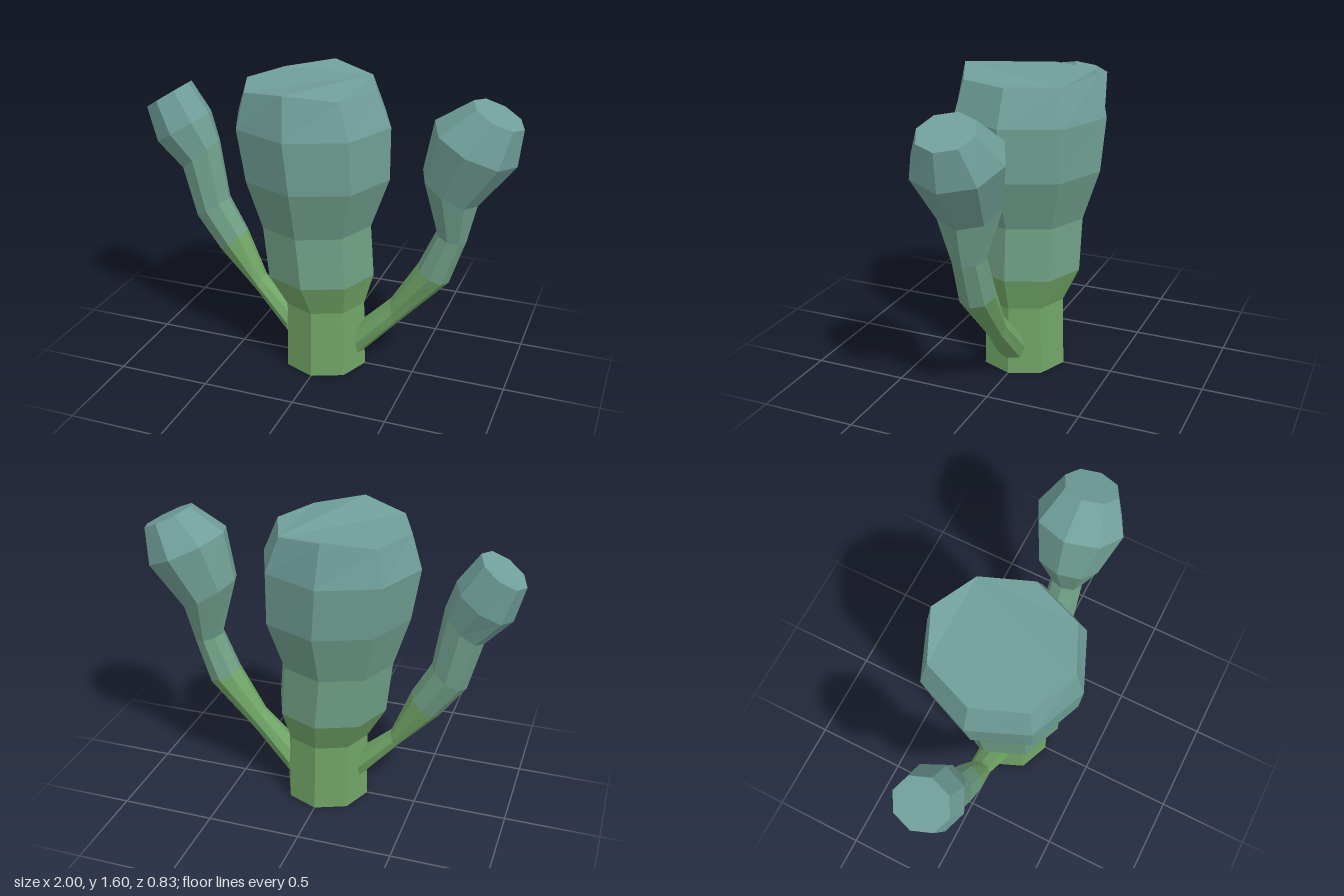
import * as THREE from 'three';

const SIDES = 8;
const BAND_COLORS = [0x70a466, 0x70a466, 0x709f85, 0x709f8c, 0x709f94, 0x709f9a];

// Ring: [leftX, leftY, rightX, rightY, depthRadius, lift of front and back corners]
function ringPoints([x1, y1, x2, y2, rz, lift = 0]) {
  const points = [];
  for (let k = 0; k < SIDES; k++) {
    const a = (k / SIDES) * Math.PI * 2;
    const c = Math.cos(a) / 2;
    points.push([
      (x1 + x2) / 2 + (x2 - x1) * c,
      (y1 + y2) / 2 + (y2 - y1) * c + (k % 4 === 2 ? lift : 0),
      Math.sin(a) * rz,
    ]);
  }
  return points;
}

function facetMesh(name, triangles, color) {
  const geometry = new THREE.BufferGeometry();
  geometry.setAttribute('position', new THREE.Float32BufferAttribute(triangles.flat(), 3));
  geometry.computeVertexNormals();
  const mesh = new THREE.Mesh(geometry, new THREE.MeshStandardMaterial({ color, flatShading: true }));
  mesh.name = name;
  return mesh;
}

// Faceted stem: one coloured band between each pair of rings, closed at both ends
function stem(name, rings) {
  const group = new THREE.Group();
  group.name = name;
  const loops = rings.map(ringPoints);
  const last = loops.length - 1;
  for (let i = 0; i < last; i++) {
    const tris = [];
    for (let k = 0; k < SIDES; k++) {
      const n = (k + 1) % SIDES;
      const [a, b, c, d] = [loops[i][k], loops[i][n], loops[i + 1][k], loops[i + 1][n]];
      tris.push(a, c, b, b, c, d);
    }
    group.add(facetMesh(`${name}Band${i + 1}`, tris, BAND_COLORS[i]));
  }
  // End caps, fanned from the back right corner
  const top = [], bottom = [];
  for (let k = 0; k < SIDES - 2; k++) {
    const [lo, hi] = [loops[0], loops[last]];
    top.push(hi[7], hi[k + 1], hi[k]);
    bottom.push(lo[7], lo[k], lo[k + 1]);
  }
  group.add(facetMesh(`${name}Top`, top, BAND_COLORS[last - 1]));
  group.add(facetMesh(`${name}Bottom`, bottom, BAND_COLORS[0]));
  return group;
}

export function createModel() {
  const model = new THREE.Group();
  model.name = 'cactus';

  // Trunk
  model.add(stem('trunk', [
    [-0.23, 0, 0.23, 0, 0.23],
    [-0.225, 0.375, 0.22, 0.375, 0.22],
    [-0.325, 0.55, 0.27, 0.55, 0.3],
    [-0.355, 0.83, 0.25, 0.83, 0.305],
    [-0.44, 1.1, 0.345, 1.1, 0.395],
    [-0.485, 1.375, 0.345, 1.375, 0.415],
    [-0.43, 1.557, 0.265, 1.56, 0.37, 0.037],
  ]));

  // Arm on +x
  model.add(stem('leftArm', [
    [0.19, 0.25, 0.21, 0.07, 0.085],
    [0.37, 0.43, 0.41, 0.29, 0.06],
    [0.51, 0.66, 0.675, 0.575, 0.095],
    [0.6, 0.86, 0.755, 0.82, 0.088],
    [0.515, 1.18, 0.8, 1.02, 0.17],
    [0.565, 1.44, 0.98, 1.25, 0.235],
    [0.75, 1.56, 1.0, 1.44, 0.145],
  ]));

  // Arm on -x
  model.add(stem('rightArm', [
    [-0.2, 0.12, -0.2, 0.3, 0.085],
    [-0.4, 0.35, -0.36, 0.44, 0.06],
    [-0.61, 0.57, -0.46, 0.69, 0.09],
    [-0.745, 0.755, -0.56, 0.87, 0.1],
    [-0.815, 1.02, -0.61, 1.19, 0.115],
    [-0.95, 1.165, -0.66, 1.34, 0.165],
    [-1.0, 1.35, -0.77, 1.495, 0.145],
  ]));

  return model;
}
